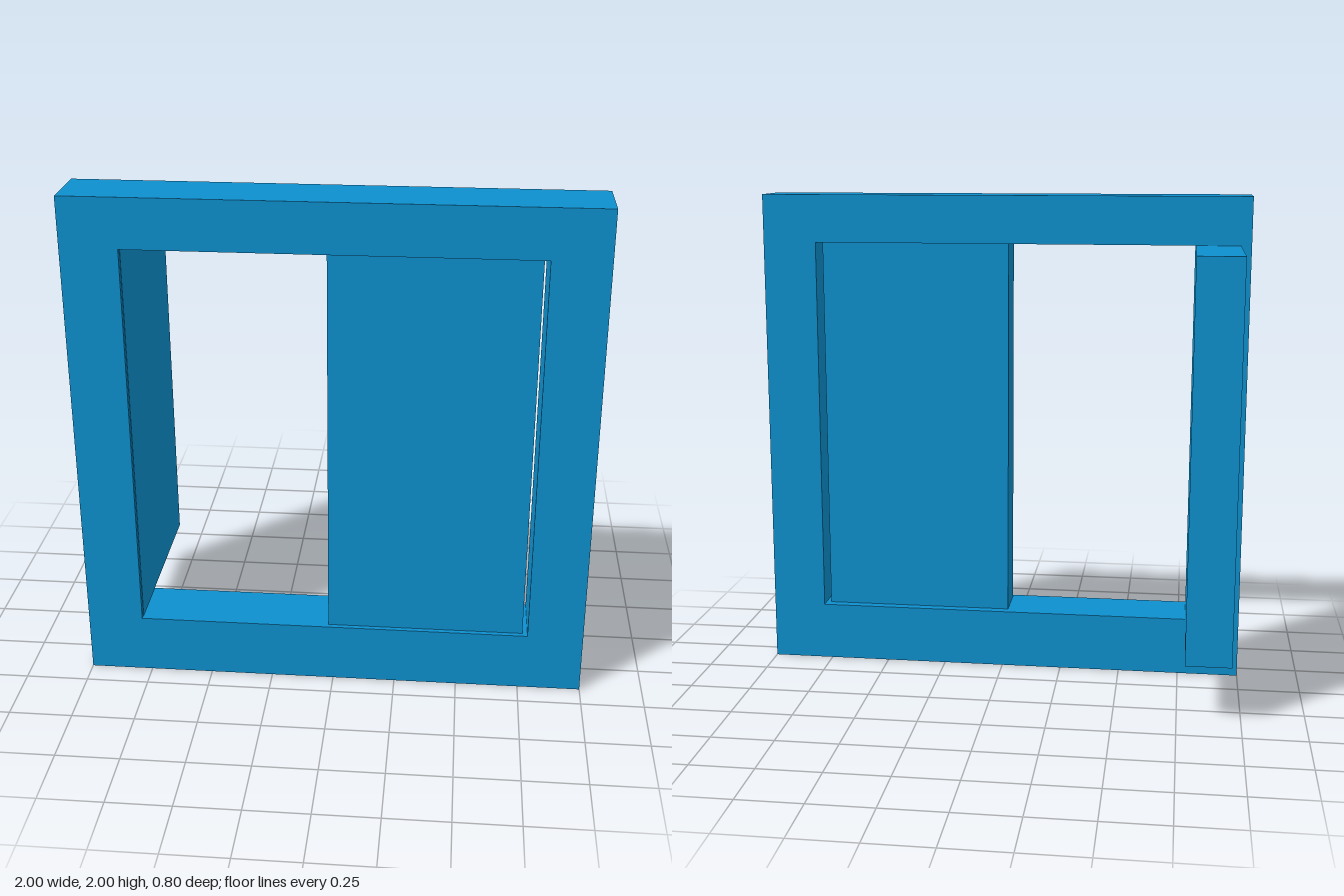
import * as THREE from 'three';

export function createModel() {
  const group = new THREE.Group();
  const blue = new THREE.MeshStandardMaterial({ color: 0x0e8fce });
  blue.name = 'blue';

  const opening = { x: 0.78, bottom: 0.24, top: 1.805 };

  // Square frame with a rectangular opening
  const outline = new THREE.Shape([
    new THREE.Vector2(-1, 0), new THREE.Vector2(1, 0),
    new THREE.Vector2(1, 2), new THREE.Vector2(-1, 2),
  ]);
  outline.holes.push(new THREE.Path([
    new THREE.Vector2(-opening.x, opening.bottom), new THREE.Vector2(-opening.x, opening.top),
    new THREE.Vector2(opening.x, opening.top), new THREE.Vector2(opening.x, opening.bottom),
  ]));
  const frame = new THREE.Mesh(
    new THREE.ExtrudeGeometry(outline, { depth: 0.24, bevelEnabled: false }), blue);
  frame.name = 'frame';
  frame.position.z = 0.16;
  group.add(frame);

  // Two equal shutters: one closed, one swung back at a right angle
  const width = 0.78, thickness = 0.18;
  const height = opening.top - opening.bottom;
  const addShutter = (name, x, z, angle) => {
    const shutter = new THREE.Mesh(new THREE.BoxGeometry(width, height, thickness), blue);
    shutter.name = name;
    shutter.position.set(x, opening.bottom + height / 2, z);
    shutter.rotation.y = angle;
    group.add(shutter);
  };
  addShutter('closedShutter', 0.37, 0.29, 0);
  addShutter('openShutter', -0.868, -0.01, Math.PI / 2);

  return group;
}
